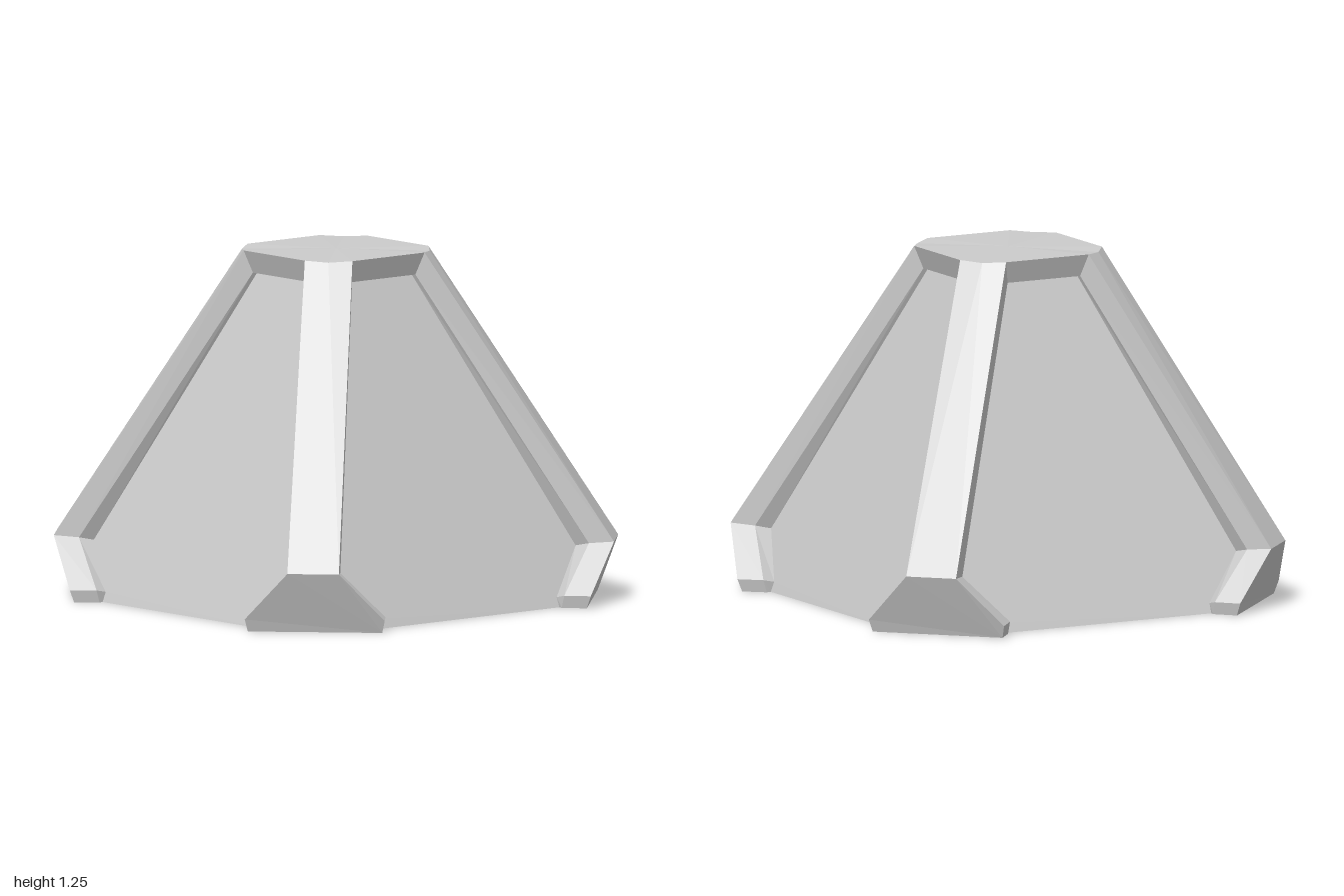
import * as THREE from 'three';

const material = new THREE.MeshStandardMaterial({ color: 0xcccccc, flatShading: true });

// Flat-faced mesh from convex polygons, each listed counter-clockwise from outside
function facets(name, polygons) {
  const pos = [];
  for (const p of polygons)
    for (let i = 1; i < p.length - 1; i++) pos.push(...p[0], ...p[i], ...p[i + 1]);
  const g = new THREE.BufferGeometry();
  g.setAttribute('position', new THREE.Float32BufferAttribute(pos, 3));
  g.computeVertexNormals();
  const mesh = new THREE.Mesh(g, material);
  mesh.name = name;
  return mesh;
}

// Half outlines of one side's frame, from foot to top, as [x, y, z]
const outer = [[0.915, 0, 0.24], [0.93, 0.045, 0.25], [1, 0.22, 0.092], [0.323, 1.25, 0.085]];
const inner = [[0.825, 0, 0.235], [0.835, 0.045, 0.245], [0.91, 0.213, 0.09], [0.29, 1.17, 0.081]];
const panelEdge = [[0.815, 0, 0.22], [0.805, 0.035, 0.21], [0.86, 0.2, 0.057], [0.275, 1.17, 0.07]];

const swap = ([x, y, z]) => [z, y, x]; // mirror across the diagonal
const flip = ([x, y, z]) => [x, y, -z]; // mirror across a ridge
const fullLoop = (half) => [...half, ...half.map(swap).reverse()];

// Faces joining two outlines, open along the ground
function band(a, b) {
  const quads = [];
  for (let i = 0; i < a.length - 1; i++) quads.push([a[i], a[i + 1], b[i + 1], b[i]]);
  return quads;
}

export function createModel() {
  const model = new THREE.Group();
  model.name = 'taperedBlock';
  const [A, B, C] = [outer, inner, panelEdge].map(fullLoop);
  const ridgeTop = [0.335, 1.245, 0];
  const topCentre = [0, 1.25, 0];
  const baseCentre = [0, 0, 0];
  const [a0, a1, a2, a3] = outer;

  for (let i = 0; i < 4; i++) {
    const side = new THREE.Group();
    side.name = `side${i + 1}`;
    side.rotation.y = i * Math.PI / 2;
    side.add(
      // recessed sloping wall and the undercut frame around it
      facets('wallPanel', [C]),
      facets('frameSides', band(A, B)),
      facets('frameUndercut', band(B, C)),
      // corner ridge with its splayed foot
      facets('cornerRidge', [[ridgeTop, a3, a2, flip(a2), flip(a3)]]),
      facets('foot', [[flip(a0), flip(a1), flip(a2), a2, a1, a0]]),
      // quarter of the top and of the underside
      facets('topCap', [
        [topCentre, swap(a3), a3],
        [topCentre, a3, ridgeTop, flip(a3)],
      ]),
      facets('underside', [
        [baseCentre, flip(a0), a0],
        [baseCentre, a0, C[0]],
        [baseCentre, C[0], C[7]],
        [baseCentre, C[7], A[7]],
        [a0, B[0], C[0]],
        [A[7], C[7], B[7]],
      ]),
    );
    model.add(side);
  }
  return model;
}
